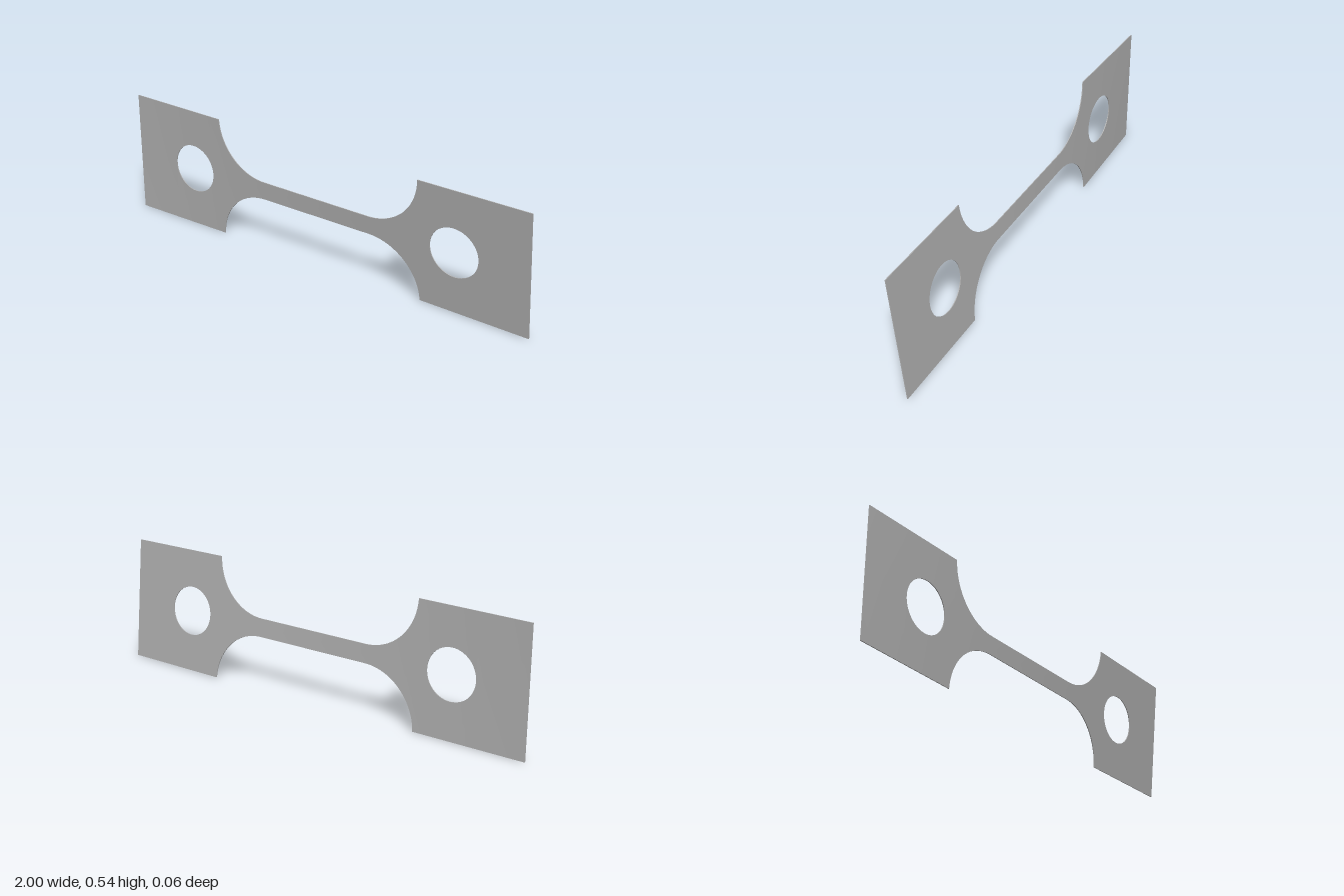
import * as THREE from 'three';
import { toCreasedNormals } from 'three/addons/utils/BufferGeometryUtils.js';

const MID = 0.272;        // height of the long axis
const HALF = 0.272;       // half height of the grip tabs
const NECK = 0.04;        // half height of the narrow neck
const FILLET = 0.24, FILLET_X = 0.27;
const HOLE_X = 0.67, HOLE_R = 0.109;
const THICK = 0.0018;     // half thickness
const TWIST = 0.097;      // total twist along the bar

// Half height of the outline at x
function outer(x) {
  const d = Math.abs(x) - FILLET_X;
  if (d <= 0) return NECK;
  if (d >= FILLET) return HALF;
  return Math.min(HALF, NECK + FILLET - Math.sqrt(FILLET * FILLET - d * d));
}

// Half height of the hole at x
function inner(x) {
  const d = Math.abs(x) - HOLE_X;
  const h = HOLE_R * HOLE_R - d * d;
  return h > 1e-9 ? Math.sqrt(h) : 0;
}

// Column positions, crowded where the curves are steep
function columns() {
  const xs = [];
  for (let i = 0; i < 8; i++) xs.push(FILLET_X * i / 8);
  for (let i = 0; i <= 24; i++) xs.push(FILLET_X + FILLET * Math.sin(Math.PI / 2 * i / 24));
  for (let i = 0; i <= 32; i++) xs.push(HOLE_X - HOLE_R * Math.cos(Math.PI * i / 32));
  for (let i = 1; i <= 6; i++) xs.push(HOLE_X + HOLE_R + (1 - HOLE_X - HOLE_R) * i / 6);
  return [...xs.slice(1).reverse().map((x) => -x), ...xs];
}

// Four corners of the section of the upper (s = 1) or lower (s = -1) half
function section(x, s) {
  const a = TWIST * THREE.MathUtils.clamp((x + 1) / (1 + FILLET_X), 0, 1);
  const c = Math.cos(a), n = Math.sin(a);
  return [[inner(x), THICK], [outer(x), THICK], [outer(x), -THICK], [inner(x), -THICK]]
    .map(([h, z]) => [x, MID + s * h * c - z * n, s * h * n + z * c]);
}

function barGeometry() {
  const pos = [];
  const quad = (a, b, c, d, s) => {
    if (s > 0) pos.push(...a, ...b, ...c, ...a, ...c, ...d);
    else pos.push(...a, ...c, ...b, ...a, ...d, ...c);
  };
  const xs = columns();
  for (const s of [1, -1]) {
    const rings = xs.map((x) => section(x, s));
    for (let i = 0; i < xs.length - 1; i++) {
      const p = rings[i], q = rings[i + 1];
      const open = inner(xs[i]) + inner(xs[i + 1]) > 0;
      // Front, outer rim, back, and the hole wall where there is a hole
      for (let k = 0; k < (open ? 4 : 3); k++) {
        const m = (k + 1) % 4;
        quad(p[k], q[k], q[m], p[m], s);
      }
    }
    // End caps
    quad(...rings[0], s);
    quad(...rings[rings.length - 1], -s);
  }
  const g = new THREE.BufferGeometry();
  g.setAttribute('position', new THREE.Float32BufferAttribute(pos, 3));
  return toCreasedNormals(g, 0.5);
}

export function createModel() {
  const group = new THREE.Group();
  group.name = 'tensileTestBar';
  const steel = new THREE.MeshStandardMaterial({ color: 0xb3b3b3 });
  steel.name = 'steel grey';
  const bar = new THREE.Mesh(barGeometry(), steel);
  bar.name = 'twistedBar';
  group.add(bar);
  return group;
}
